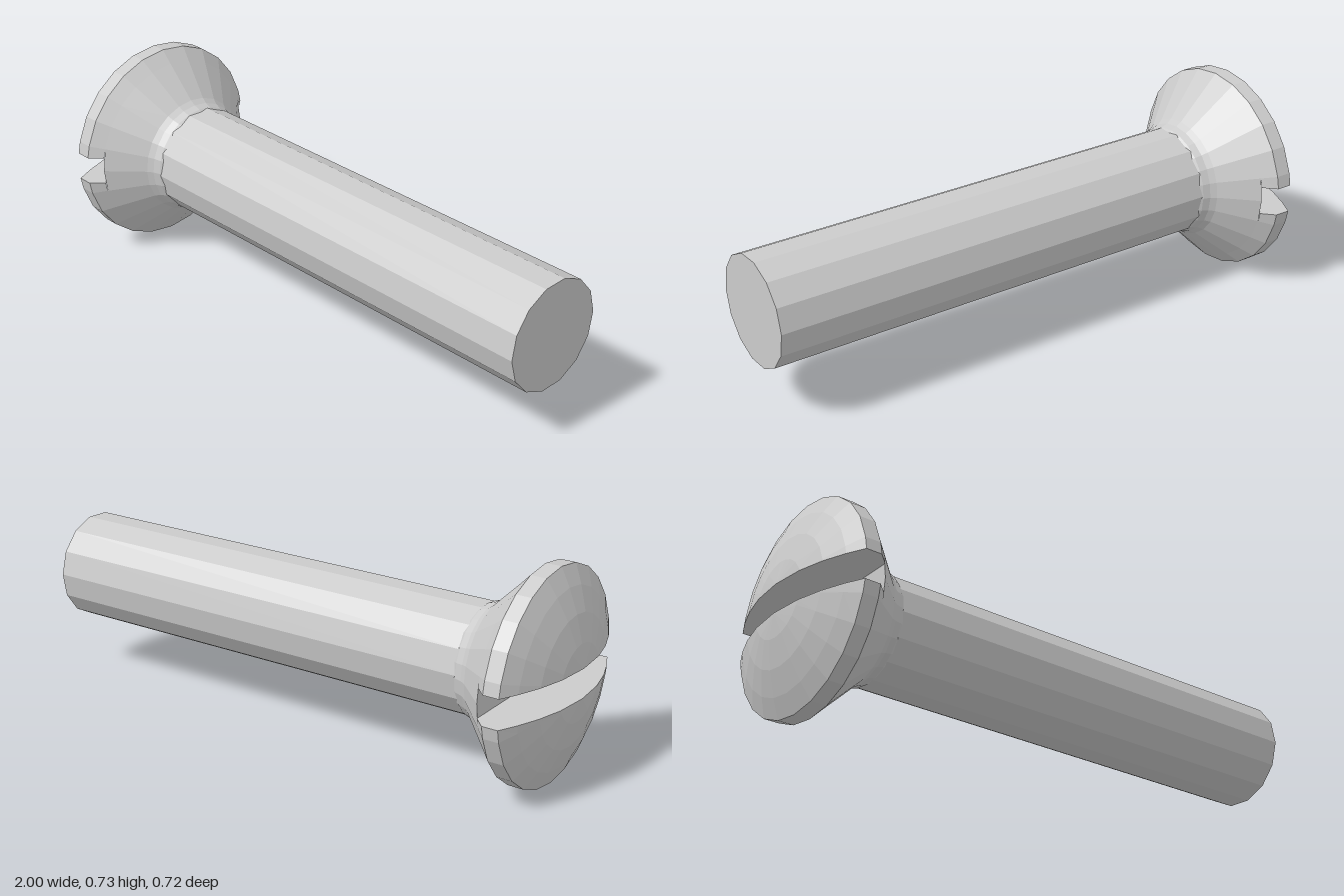
import * as THREE from 'three';

const AXIS_Y = 0.364;      // height of the screw axis
const HEAD_R = 0.363;
const HEAD_SIDES = 24;
const SHANK_SIDES = 14;
const SLOT = 0.05;         // half width of the slot
const SLOT_X = -0.81;      // floor of the slot
const CONE_R = 0.322;      // cone radius at the slot floor

const material = new THREE.MeshStandardMaterial({ color: 0xcccccc, flatShading: true });

function part(name, geometry) {
  const mesh = new THREE.Mesh(geometry, material);
  mesh.name = name;
  return mesh;
}

// Half of the slotted head: circle segments above the slot wall, joined along x
function headHalfGeometry() {
  const stations = [0.05, 0.13, 0.22, 0.3, HEAD_R].map(
    r => [-1 + 0.095 * (r / HEAD_R) ** 2, r]);
  stations.push([-0.85, HEAD_R], [SLOT_X, CONE_R]);

  const n = HEAD_SIDES / 2;
  const ring = n + 1;
  const positions = [];
  const indices = [];
  stations.forEach(([x, r], s) => {
    const edge = Math.asin(Math.min(1, SLOT / r));
    for (let k = 0; k <= n; k++) {
      const t = THREE.MathUtils.clamp(k * Math.PI / n, edge, Math.PI - edge);
      positions.push(x, r * Math.sin(t), r * Math.cos(t));
      if (s === stations.length - 1) continue;
      // the wrap from the last point to the first makes the slot wall
      const a = s * ring + k;
      const b = s * ring + (k + 1) % ring;
      indices.push(a, a + ring, b, b, a + ring, b + ring);
    }
  });
  const geometry = new THREE.BufferGeometry();
  geometry.setAttribute('position', new THREE.Float32BufferAttribute(positions, 3));
  geometry.setIndex(indices);
  const flat = geometry.toNonIndexed();
  flat.computeVertexNormals();
  return flat;
}

export function createModel() {
  const screw = new THREE.Group();
  screw.name = 'slottedScrew';

  // Two domed halves on either side of the slot
  const half = headHalfGeometry();
  const upper = part('upperHeadHalf', half);
  const lower = part('lowerHeadHalf', half);
  lower.rotation.x = Math.PI;
  screw.add(upper, lower);

  // Slot floor, countersunk cone and fillet into the shank
  const profile = [
    [0, SLOT_X], [CONE_R, SLOT_X], [0.213, -0.7], [0.2, -0.68], [0.192, -0.655], [0.182, -0.64],
  ].map(([r, x]) => new THREE.Vector2(r, x));
  const cone = new THREE.LatheGeometry(profile, HEAD_SIDES);
  cone.rotateZ(-Math.PI / 2);
  screw.add(part('headCone', cone));

  // Plain shank
  const start = -0.68;
  const shank = new THREE.CylinderGeometry(
    0.19, 0.19, 1 - start, SHANK_SIDES, 1, false, -Math.PI / 2 - 0.185);
  shank.rotateZ(-Math.PI / 2);
  shank.translate((1 + start) / 2, 0, 0);
  screw.add(part('shank', shank));

  screw.position.y = AXIS_Y;
  const model = new THREE.Group();
  model.name = 'screw';
  model.add(screw);
  return model;
}
